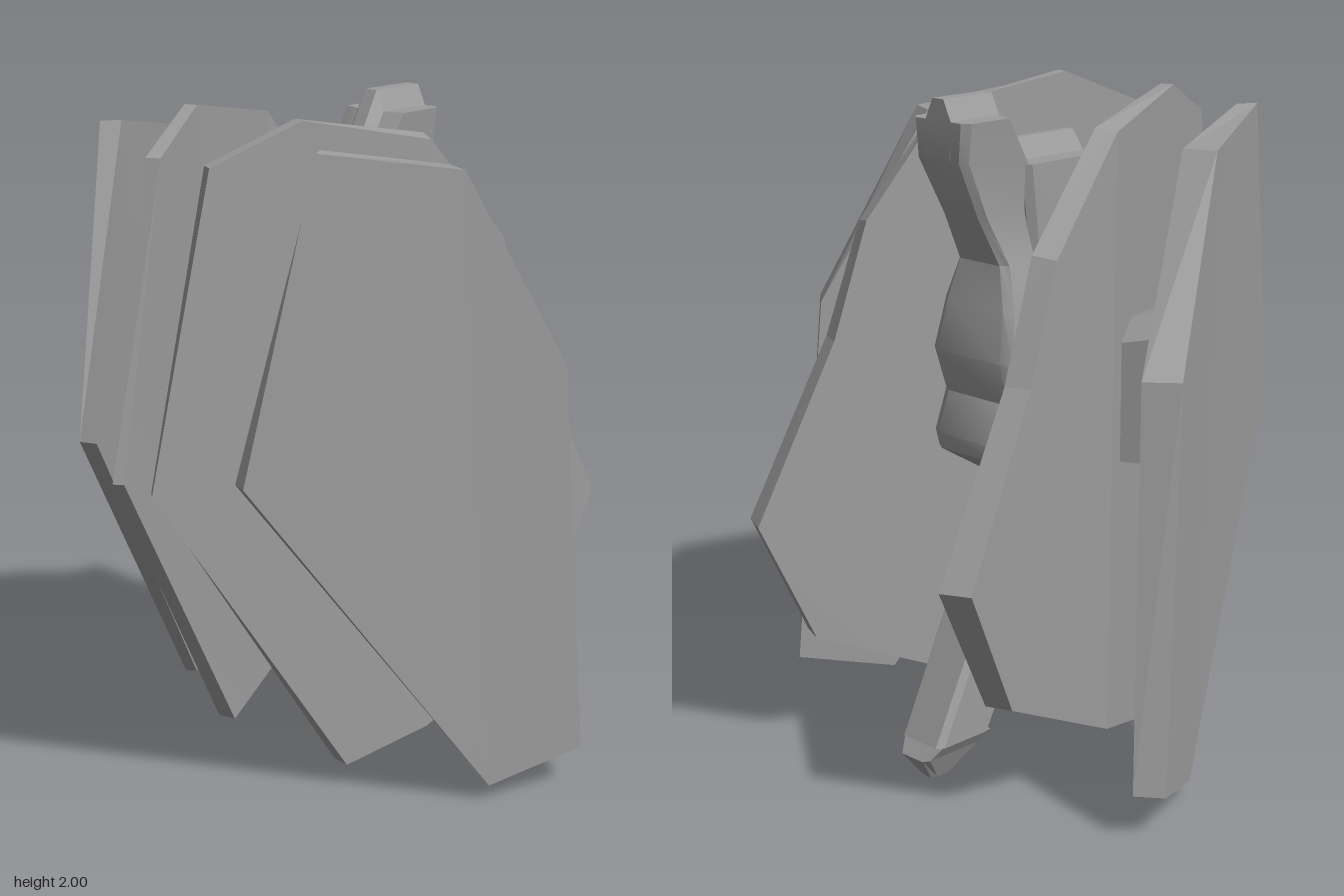
import * as THREE from 'three';
import { toCreasedNormals } from 'three/addons/utils/BufferGeometryUtils.js';

// Closed solid through a list of equal-length rings of [x, y, z]; caps are fans from corner 0.
function loft(rings, crease = 0.1) {
  const tris = [];
  const n = rings[0].length;
  for (let r = 0; r < rings.length - 1; r++) {
    for (let i = 0; i < n; i++) {
      const j = (i + 1) % n;
      const a = rings[r][i], b = rings[r][j], c = rings[r + 1][j], d = rings[r + 1][i];
      tris.push([a, b, c], [a, c, d]);
    }
  }
  const first = rings[0], last = rings[rings.length - 1];
  for (let i = 1; i < n - 1; i++) {
    tris.push([first[0], first[i + 1], first[i]], [last[0], last[i], last[i + 1]]);
  }
  // Signed volume tells whether the faces look outward
  let volume = 0;
  const v = (p) => new THREE.Vector3(...p);
  for (const [a, b, c] of tris) volume += v(a).dot(v(b).cross(v(c)));
  const ordered = volume < 0 ? tris.map(([a, b, c]) => [a, c, b]) : tris;
  const geo = new THREE.BufferGeometry();
  geo.setAttribute('position', new THREE.Float32BufferAttribute(ordered.flat(2), 3));
  geo.computeVertexNormals();
  return toCreasedNormals(geo, crease);
}

// Bar across x through [halfWidth, crest profile, foot profile] in [z, y]: narrow crest, wider foot
const ridge = (crestHalf, crest, footHalf, foot) =>
  loft([[-footHalf, foot], [-crestHalf, crest], [crestHalf, crest], [footHalf, foot]]
    .map(([x, profile]) => profile.map(([z, y]) => [x, y, z])));

// Horizontal body section with a narrow keel at the front
const section = (y, front, back, half, keel, bevel) => [
  [keel, y, front], [half, y, front - bevel], [half, y, back + 0.02], [half * 0.8, y, back],
  [-half * 0.8, y, back], [-half, y, back + 0.02], [-half, y, front - bevel], [-keel, y, front],
];

export function createModel() {
  const model = new THREE.Group();
  const material = new THREE.MeshStandardMaterial({ color: 0x9c9c9c });
  const add = (name, geometry) => {
    const mesh = new THREE.Mesh(geometry, material);
    mesh.name = name;
    model.add(mesh);
  };

  // Wing plates: outer and inner outline, starting at the lower bend
  const innerPlate = [
    [[0.36, 0.14, -0.07], [0.27, 0.07, 0.19], [0.08, 1.0, 0.77], [0.125, 1.88, 0.58], [0.23, 1.99, 0.33],
      [0.36, 1.91, -0.05], [0.4, 1.6, -0.33], [0.42, 1.27, -0.45], [0.465, 0.76, -0.72], [0.435, 0.37, -0.54]],
    [[0.3, 0.14, -0.08], [0.21, 0.07, 0.18], [0.055, 1.0, 0.75], [0.085, 1.88, 0.56], [0.19, 1.99, 0.32],
      [0.305, 1.92, -0.08], [0.335, 1.61, -0.36], [0.35, 1.27, -0.48], [0.38, 0.76, -0.76], [0.36, 0.37, -0.57]],
  ];
  const outerPlate = [
    [[0.64, 0.05, -0.02], [0.33, 1.05, 0.67], [0.42, 1.94, 0.48], [0.6, 1.87, 0.09],
      [0.74, 1.3, -0.2], [0.775, 0.13, -0.28]],
    [[0.61, 0.05, -0.04], [0.28, 1.05, 0.65], [0.385, 1.94, 0.43], [0.51, 1.87, 0.05],
      [0.655, 1.3, -0.27], [0.715, 0.14, -0.35]],
  ];
  // Struts: body to inner plate, and inner plate to outer plate
  const innerStrut = [
    [[0.05, 0.98, -0.03], [0.05, 1.36, -0.03], [0.05, 1.4, 0.06], [0.05, 1.25, 0.24], [0.05, 1.0, 0.24]],
    [[0.33, 0.98, -0.03], [0.33, 1.36, -0.03], [0.31, 1.4, 0.06], [0.25, 1.25, 0.24], [0.25, 1.0, 0.24]],
  ];
  const outerStrut = [
    [[0.33, 0.95, -0.01], [0.33, 1.3, -0.01], [0.31, 1.36, 0.06], [0.27, 1.36, 0.22], [0.265, 1.18, 0.23], [0.29, 0.95, 0.18]],
    [[0.52, 0.95, 0.08], [0.52, 1.34, 0.08], [0.5, 1.41, 0.13], [0.4, 1.41, 0.34], [0.39, 1.18, 0.38], [0.41, 0.95, 0.34]],
  ];
  for (const [side, s] of [['left', 1], ['right', -1]]) {
    const mirror = (rings) => rings.map((ring) => ring.map(([x, y, z]) => [s * x, y, z]));
    add(side + 'InnerWingPlate', loft(mirror(innerPlate)));
    add(side + 'OuterWingPlate', loft(mirror(outerPlate)));
    add(side + 'InnerStrut', loft(mirror(innerStrut)));
    add(side + 'OuterStrut', loft(mirror(outerStrut)));
  }

  // Curved back of the body: head, neck, swelling and lower lip
  const spine = [
    [1.94, -0.2, -0.385, 0.112], [1.83, -0.13, -0.385, 0.1], [1.66, -0.02, -0.3, 0.085], [1.52, 0.04, -0.23, 0.1],
    [1.4, 0.05, -0.25, 0.14], [1.25, 0.05, -0.28, 0.16], [1.12, 0.05, -0.24, 0.155], [1.0, 0.05, -0.28, 0.16],
    [0.95, 0.05, -0.27, 0.155], [0.84, 0.05, -0.1, 0.09],
  ];
  add('spine', loft(spine.map((p) => section(...p, 0.04, 0.02)), 0.6));
  add('headRidge', ridge(0.022, [[-0.13, 1.87], [-0.2, 2], [-0.385, 2], [-0.385, 1.85], [-0.3, 1.7]],
    0.05, [[-0.14, 1.83], [-0.2, 1.94], [-0.385, 1.94], [-0.385, 1.83], [-0.3, 1.7]]));

  // Front hull: tapering prow with its own ridge
  const prow = [
    [1.8, 0.16, -0.15, 0.112, 0.04, 0.01], [1.37, 0.36, -0.1, 0.112, 0.04, 0.1],
    [0.95, 0.26, -0.12, 0.1, 0.03, 0.08], [0.55, -0.02, -0.15, 0.08, 0.03, 0.05],
  ];
  add('prow', loft(prow.map((p) => section(...p))));
  add('prowRidge', ridge(0.012, [[-0.16, 1.86], [0.14, 1.86], [0.37, 1.37], [0.28, 0.95], [0, 0.56], [-0.1, 1]],
    0.042, [[-0.16, 1.8], [0.15, 1.8], [0.35, 1.37], [0.25, 0.95], [-0.04, 0.56], [-0.1, 1]]));

  // Tail boom slanting down and back, ending in a blunt nose
  const boom = [[0.95, 0.2, -0.08, 0.09], [0.12, -0.24, -0.49, 0.085]];
  add('tailBoom', loft(boom.map((p) => section(...p, 0.04, 0.06))));
  const nose = [[0.12, -0.25, -0.49, 0.08], [0.08, -0.28, -0.52, 0.055], [0, -0.36, -0.46, 0.02]];
  add('tailNose', loft(nose.map((p) => section(...p, 0.015, 0.03))));

  return model;
}
